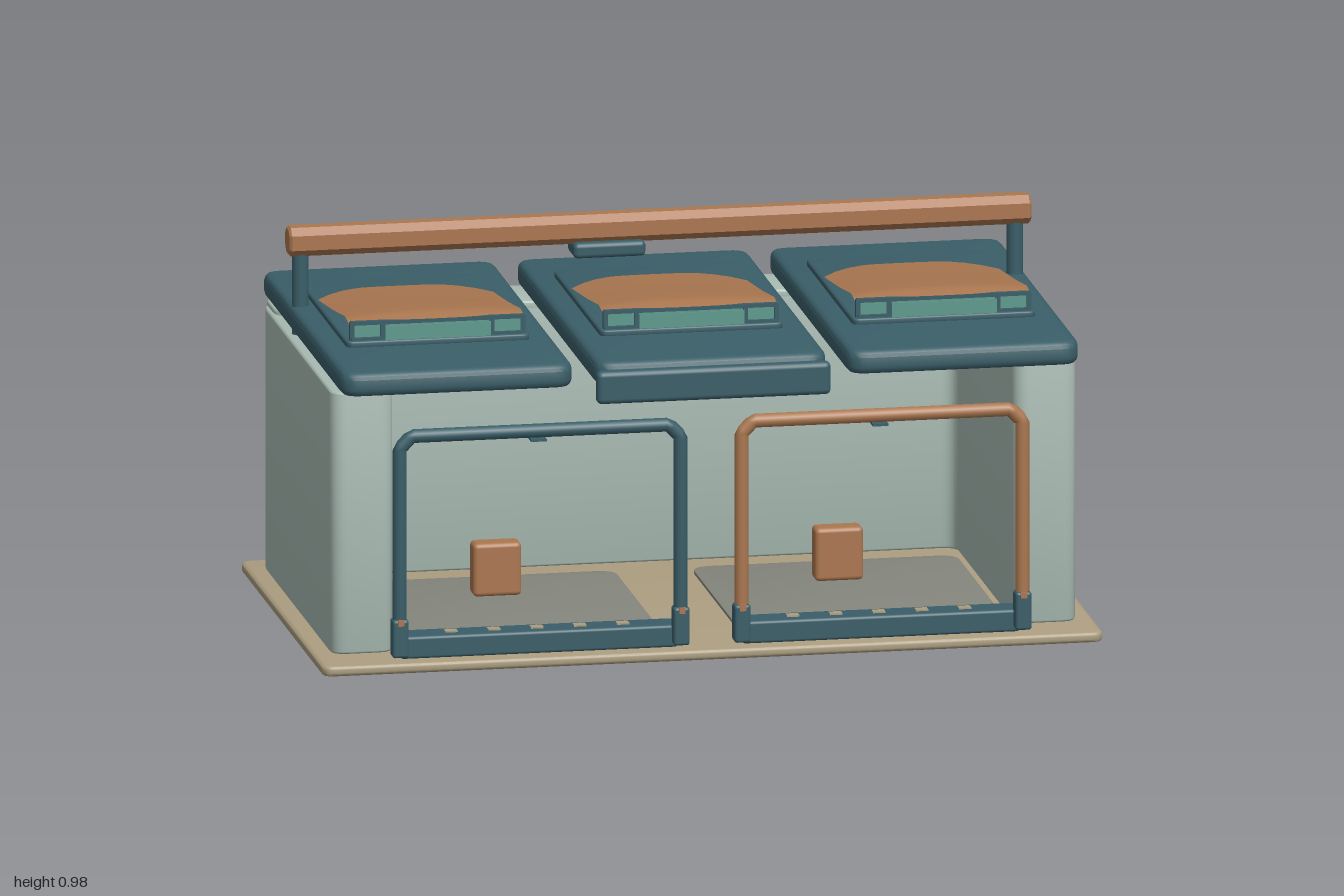
import * as THREE from 'three';
import { RoundedBoxGeometry } from 'three/addons/geometries/RoundedBoxGeometry.js';
import { toCreasedNormals } from 'three/addons/utils/BufferGeometryUtils.js';

const mat = (name, color, side = THREE.FrontSide) => {
  const m = new THREE.MeshStandardMaterial({ color, side });
  m.name = name;
  return m;
};

// Outline with rounded corners through the points [x, y, radius]
function roundedShape(points) {
  const s = new THREE.Shape();
  const n = points.length;
  points.forEach(([x, y, r], i) => {
    const toward = ([qx, qy]) => {
      const l = Math.hypot(qx - x, qy - y);
      return [x + ((qx - x) * r) / l, y + ((qy - y) * r) / l];
    };
    const a = toward(points[(i + n - 1) % n]);
    const b = toward(points[(i + 1) % n]);
    if (i === 0) s.moveTo(...a); else s.lineTo(...a);
    s.quadraticCurveTo(x, y, ...b);
  });
  s.closePath();
  return s;
}

// Upright prism from a plan outline (shape y becomes -z), standing from y0 to y1
function slab(points, y0, y1, bevel) {
  const g = new THREE.ExtrudeGeometry(roundedShape(points), {
    depth: y1 - y0 - 2 * bevel, bevelEnabled: bevel > 0, bevelThickness: bevel,
    bevelSize: bevel, bevelOffset: -bevel, bevelSegments: 3, curveSegments: 6,
  });
  g.rotateX(-Math.PI / 2);
  g.translate(0, y0 + bevel, 0);
  return toCreasedNormals(g, 0.6);
}

const plan = (x0, x1, z0, z1, r) => [[x0, -z1, r], [x1, -z1, r], [x1, -z0, r], [x0, -z0, r]];

export function createModel() {
  const model = new THREE.Group();
  const sand = mat('sand', 0xab9d80);
  const sage = mat('sage', 0xa9bbb3);
  const teal = mat('teal', 0x3a5e68);
  const wood = mat('wood', 0xab7750);
  const woodSheet = mat('wood sheet', 0xab7750, THREE.DoubleSide);
  const grey = mat('floor grey', 0x84867d);
  const glass = mat('sea green', 0x5f9a8d, THREE.DoubleSide);

  const add = (parent, name, geometry, material, x = 0, y = 0, z = 0) => {
    const m = new THREE.Mesh(geometry, material);
    m.name = name;
    m.position.set(x, y, z);
    parent.add(m);
    return m;
  };
  const box = (parent, name, material, [x0, x1], [y0, y1], [z0, z1], r = 0) => {
    const d = [x1 - x0, y1 - y0, z1 - z0];
    const g = r ? new RoundedBoxGeometry(...d, 2, r) : new THREE.BoxGeometry(...d);
    return add(parent, name, g, material, (x0 + x1) / 2, (y0 + y1) / 2, (z0 + z1) / 2);
  };

  // Base plate
  add(model, 'basePlate', slab(plan(-1, 1, -0.575, 0.565, 0.03), 0, 0.026, 0.008), sand);

  // Thick U-shaped wall, open to the front
  const wall = [
    [-0.955, -0.44, 0.04], [-0.795, -0.44, 0.04], [-0.795, 0.37, 0.04], [0.795, 0.37, 0.04],
    [0.795, -0.44, 0.04], [0.955, -0.44, 0.04], [0.955, 0.545, 0.09], [-0.955, 0.545, 0.09],
  ];
  add(model, 'wall', slab(wall, 0.026, 0.705, 0.006), sage);
  add(model, 'backWallCap', slab(plan(-0.945, 0.945, -0.54, -0.37, 0.05), 0.69, 0.717, 0.005), sage);

  // Three roof panels, each with a raised canopy
  [-0.65, 0, 0.647].forEach((cx, i) => {
    const bay = new THREE.Group();
    bay.name = 'roofBay' + (i + 1);
    bay.position.x = cx;
    model.add(bay);
    add(bay, 'roofPanel', slab(plan(-0.297, 0.297, -0.57, 0.547, 0.05), 0.717, 0.779, 0.018), teal);
    add(bay, 'canopyPlate', slab(plan(-0.235, 0.235, -0.375, 0.272, 0.02), 0.775, 0.794, 0.005), teal);
    if (i === 1) box(bay, 'frontLip', teal, [-0.3, 0.3], [0.677, 0.762], [0.54, 0.577], 0.014);

    // Sheet rising to the front, slightly crowned across its width
    const profile = [[-0.28, 0.795], [-0.12, 0.812], [0.04, 0.831], [0.19, 0.853], [0.225, 0.849], [0.258, 0.842]];
    const sheet = new THREE.PlaneGeometry(1, 1, 12, profile.length - 1);
    const p = sheet.attributes.position;
    for (let k = 0; k < p.count; k++) {
      const u = p.getX(k) * 2;
      const [z, y] = profile[Math.floor(k / 13)];
      p.setXYZ(k, u * 0.225, y - 0.012 * Math.pow(Math.abs(u), 3), z);
    }
    sheet.computeVertexNormals();
    add(bay, 'canopy', sheet, woodSheet);

    // Front window under the canopy
    box(bay, 'window', glass, [-0.215, 0.215], [0.794, 0.836], [0.248, 0.252]);
    box(bay, 'windowHead', teal, [-0.222, 0.222], [0.832, 0.842], [0.246, 0.258]);
    box(bay, 'windowSill', teal, [-0.222, 0.222], [0.792, 0.8], [0.246, 0.262]);
    [-0.219, -0.14, 0.14, 0.219].forEach((x) =>
      box(bay, 'windowPost', teal, [x - 0.006, x + 0.006], [0.792, 0.84], [0.248, 0.258]));
    box(bay, 'outerPane', glass, [-0.135, 0.135], [0.792, 0.83], [0.266, 0.269]);
  });

  // Long octagonal rail with its posts
  const rail = new THREE.Group();
  rail.name = 'roofRail';
  rail.position.z = -0.19;
  model.add(rail);
  const c = 0.018;
  const railShape = new THREE.Shape([
    [-0.035, -0.037 + c], [-0.035 + c, -0.037], [0.035 - c, -0.037], [0.035, -0.037 + c],
    [0.035, 0.037 - c], [0.035 - c, 0.037], [-0.035 + c, 0.037], [-0.035, 0.037 - c],
  ].map((q) => new THREE.Vector2(...q)));
  const bar = new THREE.ExtrudeGeometry(railShape, {
    depth: 1.89, bevelThickness: 0.006, bevelSize: 0.006, bevelOffset: -0.006, bevelSegments: 1,
  });
  bar.rotateY(Math.PI / 2);
  add(rail, 'railBar', bar, wood, -0.945, 0.947, 0);
  [-0.918, 0.913].forEach((x) =>
    add(rail, 'railPost', new THREE.CylinderGeometry(0.021, 0.021, 0.22, 16), teal, x, 0.81, 0));
  box(rail, 'railBox', teal, [-0.225, -0.04], [0.876, 0.916], [-0.046, 0.046], 0.012);

  // Two front bays: hoop frame, sill, floor mat and stop block
  [-1, 1].forEach((side) => {
    const bay = new THREE.Group();
    bay.name = side < 0 ? 'rightFrontBay' : 'leftFrontBay';
    bay.position.x = side * 0.438;
    model.add(bay);
    const pts = [[-0.36, 0.04], [-0.36, 0.575], [-0.33, 0.607], [0.33, 0.607], [0.36, 0.575], [0.36, 0.04]];
    const path = new THREE.CurvePath();
    for (let k = 1; k < pts.length; k++) {
      path.add(new THREE.LineCurve3(
        new THREE.Vector3(...pts[k - 1], 0.527), new THREE.Vector3(...pts[k], 0.527)));
    }
    add(bay, 'hoopFrame', new THREE.TubeGeometry(path, 140, 0.018, 12, false), side < 0 ? teal : wood);
    [-0.36, 0.36].forEach((x) => {
      box(bay, 'hoopSocket', teal, [x - 0.021, x + 0.021], [0.036, 0.135], [0.506, 0.549], 0.008);
      box(bay, 'socketPin', wood, [x - 0.008, x + 0.008], [0.12, 0.136], [0.547, 0.553]);
    });
    box(bay, 'sill', teal, [-0.355, 0.355], [0.026, 0.084], [0.44, 0.52], 0.008);
    [-0.22, -0.11, 0, 0.11, 0.22].forEach((x) =>
      box(bay, 'sillStud', sand, [x - 0.016, x + 0.016], [0.08, 0.088], [0.468, 0.492]));
    box(bay, 'hook', teal, [-0.02, 0.02], [0.574, 0.58], [0.473, 0.513]);
    add(bay, 'floorMat', slab(plan(-0.34, 0.34, -0.27, 0.405, 0.05), 0.024, 0.034, 0.002), grey);
    box(bay, 'stopBlock', wood, [-0.062, 0.062], [0.034, 0.172], [-0.11, -0.05], 0.012);
  });

  return model;
}
